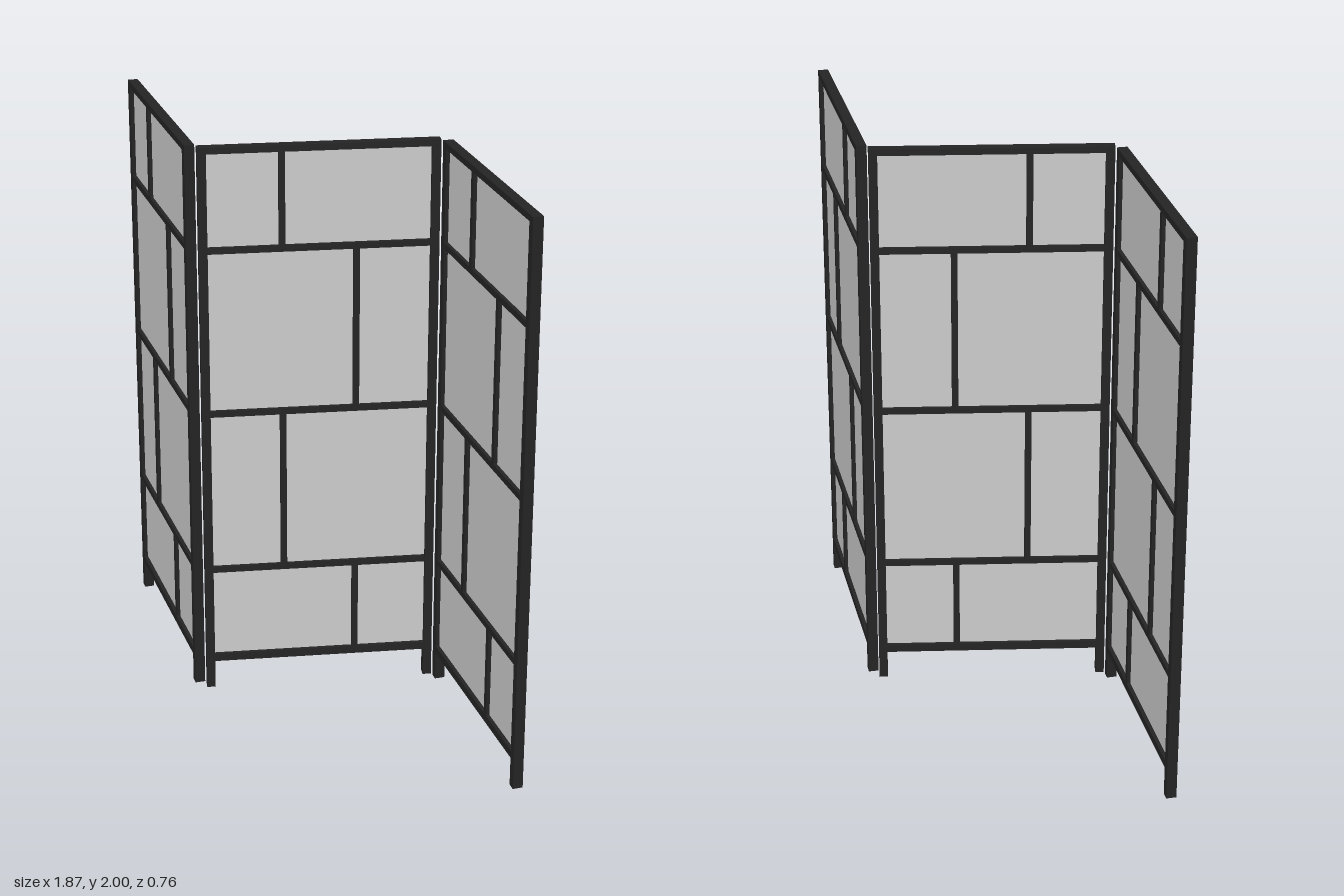
import * as THREE from 'three';

const WIDTH = 0.806, HEIGHT = 2, POST = 0.03, DEPTH = 0.035, BAR = 0.022, BAR_DEPTH = 0.033;
const INNER = WIDTH - 2 * POST;

const frameMaterial = new THREE.MeshStandardMaterial({ color: 0x242424 });
const paperMaterial = new THREE.MeshStandardMaterial({ color: 0xcccccc });

function addBox(parent, name, size, position, material = frameMaterial) {
  const mesh = new THREE.Mesh(new THREE.BoxGeometry(...size), material);
  mesh.name = name;
  mesh.position.set(...position);
  parent.add(mesh);
}

// One folding leaf: posts that run down into feet, rails, staggered mullions and a thin sheet
function createLeaf(name) {
  const leaf = new THREE.Group();
  leaf.name = name;

  for (const side of [-1, 1]) {
    addBox(leaf, 'post', [POST, HEIGHT, DEPTH], [side * (WIDTH - POST) / 2, HEIGHT / 2, 0]);
  }

  // Rails, from bottom to top
  const rails = [0.117, 0.464, 1.055, 1.643, HEIGHT - BAR / 2];
  rails.forEach((y, i) => {
    const outer = i === 0 || i === rails.length - 1;
    addBox(leaf, 'rail', [INNER, i === 0 ? 0.028 : BAR, outer ? DEPTH : BAR_DEPTH], [0, y, 0]);
  });

  // One mullion per row, alternating sides
  for (let i = 0; i < rails.length - 1; i++) {
    const low = rails[i], high = rails[i + 1];
    const x = i % 2 === 0 ? 0.125 : -0.125;
    addBox(leaf, 'mullion', [BAR, high - low - BAR, BAR_DEPTH], [x, (low + high) / 2, 0]);
  }

  // Sheet filling the frame
  const bottom = rails[0], top = rails[rails.length - 1];
  addBox(leaf, 'sheet', [INNER, top - bottom, 0.008], [0, (top + bottom) / 2, 0], paperMaterial);
  return leaf;
}

export function createModel() {
  const screen = new THREE.Group();
  screen.name = 'foldingScreen';

  // Zigzag of three leaves: name, x, z, turn in degrees
  const leaves = [
    ['rightLeaf', -0.644, -0.075, -46.3],
    ['middleLeaf', 0, 0, 33.7],
    ['leftLeaf', 0.644, 0.075, -46.3],
  ];
  for (const [name, x, z, turn] of leaves) {
    const leaf = createLeaf(name);
    leaf.position.set(x, 0, z);
    leaf.rotation.y = THREE.MathUtils.degToRad(turn);
    screen.add(leaf);
  }
  return screen;
}
